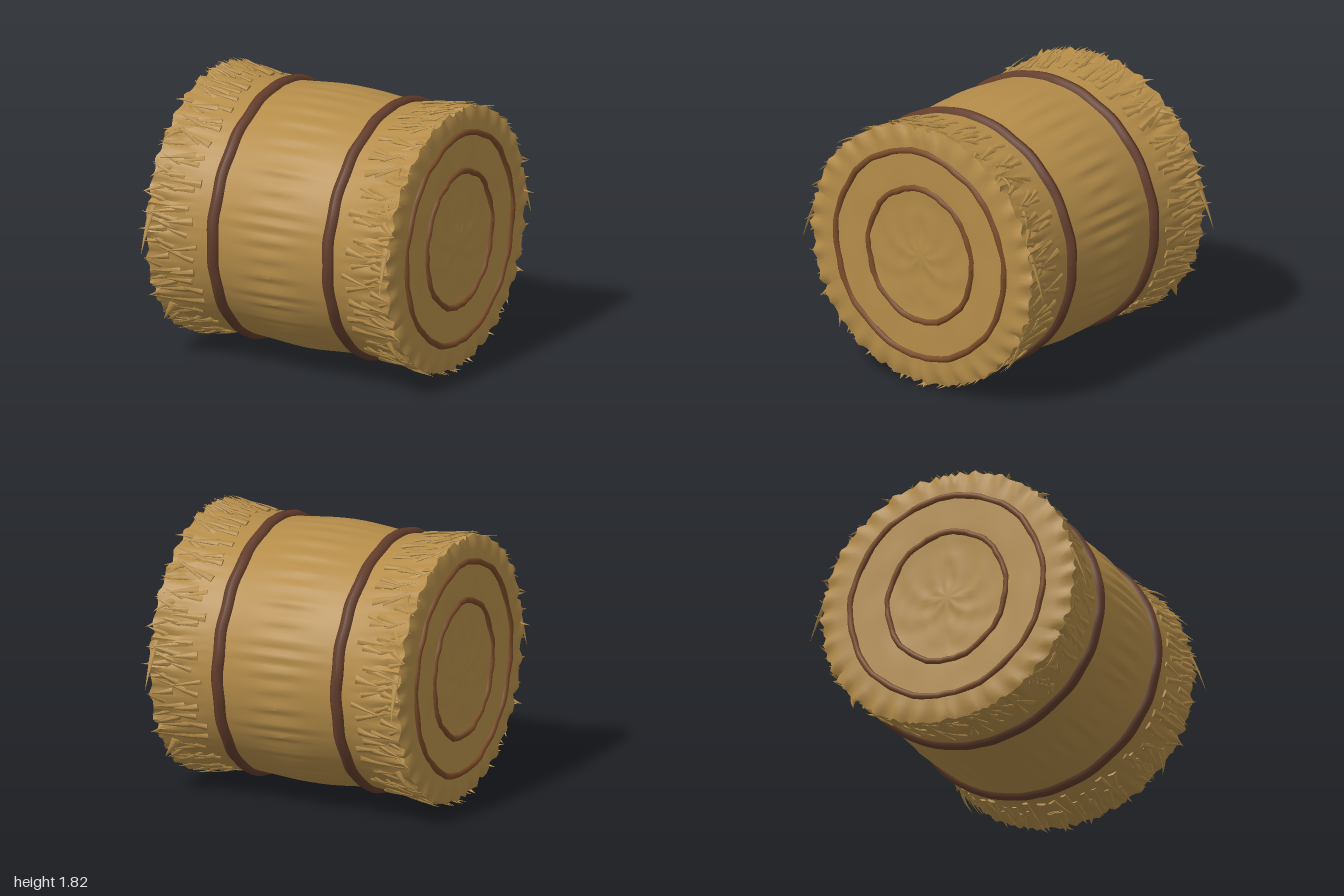
import * as THREE from 'three';
import { mergeGeometries, mergeVertices, toCreasedNormals } from 'three/addons/utils/BufferGeometryUtils.js';

const CY = 0.912;      // height of the bale's axis
const ZS = 1.035;      // the bale is slightly wider than tall

let seed = 7;
const rand = (a = 0, b = 1) => {
  seed = (seed * 16807) % 2147483647;
  return a + (b - a) * (seed / 2147483647);
};

// Move every vertex of a geometry by a rule
function deform(geo, rule) {
  const p = geo.attributes.position, v = new THREE.Vector3();
  for (let i = 0; i < p.count; i++) {
    rule(v.fromBufferAttribute(p, i));
    p.setXYZ(i, v.x, v.y, v.z);
  }
  return geo;
}

// Straw roll: a lathe along x, wrinkled the same way left/right and front/back
function baleGeometry() {
  const half = [[0, 0.915], [0.08, 0.915], [0.16, 0.905], [0.24, 0.918], [0.32, 0.908], [0.4, 0.92], [0.55, 0.918],
    [0.68, 0.92], [0.78, 0.918], [0.84, 0.912], [0.878, 0.9], [0.872, 0.86], [0.864, 0.8], [0.857, 0.73],
    [0.851, 0.65], [0.845, 0.57], [0.838, 0.5], [0.834, 0.43], [0.838, 0.36], [0.844, 0.29], [0.849, 0.22],
    [0.853, 0.15], [0.855, 0.08]];
  const pts = [...half.map(([r, x]) => new THREE.Vector2(r, -x)), new THREE.Vector2(0.856, 0),
    ...half.slice().reverse().map(([r, x]) => new THREE.Vector2(r, x))];
  let geo = new THREE.LatheGeometry(pts, 200).rotateZ(-Math.PI / 2);
  geo.deleteAttribute('uv');
  geo.deleteAttribute('normal');
  geo = mergeVertices(geo, 1e-4);
  // short slits around the middle
  const slits = Array.from({ length: 22 }, (_, i) => ({
    a: (i + rand(0.2, 0.8)) * Math.PI / 22, len: rand(0.1, 0.28), d: rand(0.012, 0.028),
  }));
  deform(geo, (v) => {
    const r = Math.hypot(v.y, v.z), x = Math.abs(v.x);
    if (r < 1e-4) return;
    const a = Math.acos(THREE.MathUtils.clamp(v.y / r, -1, 1));
    let k = 0;
    if (r > 0.82) {
      const fray = THREE.MathUtils.smoothstep(x, 0.48, 0.9);
      const w = a * 21 + 1.3 * Math.sin(a * 5) + 3 * x * Math.sin(a * 9);
      k += fray * (0.022 * (Math.abs(Math.sin(w)) - 0.6) + 0.008 * Math.sin(a * 57 + x * 9));
      for (const s of slits) {
        const t = (a - s.a - 0.06 * x * x) / 0.035;
        k -= s.d * t * Math.exp(-t * t) * Math.exp(-((x / s.len) ** 2));
      }
      if (x > 0.8) v.x += Math.sign(v.x) * 0.012 * Math.sin(a * 33);
    } else {
      v.x += Math.sign(v.x) * 0.005 * Math.sin(a * 7 + r * 25) * Math.min(1, r * 6);
      k += 0.01 * Math.sin(a * 6 + r * 9);
    }
    const f = (r + k) / r;
    v.y *= f;
    v.z *= f * ZS;
  });
  return toCreasedNormals(geo, 0.9);
}

// Flat, curling blade of straw from one point to another
function blade(from, to, width, curl) {
  const dir = to.clone().sub(from), len = dir.length();
  dir.normalize();
  const out = new THREE.Vector3(0, from.y, from.z).normalize();
  const side = new THREE.Vector3().crossVectors(dir, out).normalize();
  out.crossVectors(side, dir);
  const geo = new THREE.ConeGeometry(width, len, 6, 4).translate(0, len / 2, 0);
  deform(geo, (v) => {
    const t = v.y / len;
    v.z = v.z * 0.4 + curl * Math.sin(t * Math.PI);
  });
  geo.computeVertexNormals();
  return geo.applyMatrix4(new THREE.Matrix4().makeBasis(side, dir, out).setPosition(from));
}

// Frayed straw around both ends, mirrored in x and z
function frayGeometry() {
  const blades = [];
  const at = (x, r, a, sx, sz) => new THREE.Vector3(sx * x, r * Math.cos(a), sz * r * Math.sin(a) * ZS);
  const addMirrored = (x0, r0, a0, x1, r1, a1, w, curl) => {
    for (const sx of [-1, 1]) for (const sz of [-1, 1]) {
      blades.push(blade(at(x0, r0, a0, sx, sz), at(x1, r1, a1, sx, sz), w, curl));
    }
  };
  const n = 30;
  for (let row = 0; row < 3; row++) {
    for (let i = 0; i < n; i++) {
      const a = (i + 0.5 + rand(-0.35, 0.35)) * Math.PI / n;
      const x0 = [0.78, 0.68, 0.58][row] + rand(-0.04, 0.04);
      const x1 = [0.935, 0.89, 0.8][row] + rand(-0.03, 0.012);
      const r1 = [0.895, 0.893, 0.872][row] + rand(-0.015, 0.015);
      addMirrored(x0, 0.848, a, x1, r1, a + rand(-0.09, 0.09), rand(0.018, 0.034), rand(0.0, 0.014));
    }
  }
  // longer stray stalks
  addMirrored(0.87, 0.86, 1.3, 0.89, 0.973, 1.69, 0.03, 0.01);
  addMirrored(0.72, 0.85, 0.03, 0.9, 0.898, 0.02, 0.04, 0);
  addMirrored(0.72, 0.85, 3.11, 0.9, 0.91, 3.13, 0.04, 0);
  addMirrored(0.8, 0.86, 0.72, 0.88, 0.925, 0.86, 0.03, 0.015);
  addMirrored(0.8, 0.86, 2.2, 0.9, 0.925, 2.35, 0.035, 0.015);
  addMirrored(0.8, 0.86, 1.02, 0.9, 0.92, 1.14, 0.03, 0.01);
  return mergeGeometries(blades);
}

// Hand-wound rope loop around the x axis
function ropeGeometry(radius, tube, zScale, wobble, segments) {
  const geo = new THREE.TorusGeometry(radius, tube, 10, segments).rotateY(Math.PI / 2);
  deform(geo, (v) => {
    const a = Math.acos(THREE.MathUtils.clamp(v.y / Math.hypot(v.y, v.z), -1, 1));
    const f = 1 + wobble * (Math.sin(a * 9 + 1) + 0.6 * Math.sin(a * 23));
    v.x += 0.004 * Math.sin(a * 17);
    v.y *= f;
    v.z *= f * zScale;
  });
  geo.computeVertexNormals();
  return geo;
}

export function createModel() {
  const straw = new THREE.MeshStandardMaterial({ color: 0xb48c49 });
  const strapBrown = new THREE.MeshStandardMaterial({ color: 0x633d2b });
  const ringBrown = new THREE.MeshStandardMaterial({ color: 0x784a27 });
  straw.name = 'straw';
  strapBrown.name = 'strapBrown';
  ringBrown.name = 'ringBrown';

  const model = new THREE.Group();
  model.name = 'hayBale';
  const add = (name, geo, mat, x = 0, y = CY) => {
    const mesh = new THREE.Mesh(geo, mat);
    mesh.name = name;
    mesh.position.set(x, y, 0);
    model.add(mesh);
  };

  add('strawRoll', baleGeometry(), straw);
  add('frayedEnds', frayGeometry(), straw);

  // Two straps around the roll, two rings on each end
  const strap = ropeGeometry(0.826, 0.044, ZS, 0.002, 120);
  const outerRing = ropeGeometry(0.705, 0.022, 0.985, 0.006, 72);
  const innerRing = ropeGeometry(0.455, 0.021, 0.935, 0.009, 56);
  for (const [side, s] of [['left', 1], ['right', -1]]) {
    add(side + 'Strap', strap, strapBrown, s * 0.43);
    add(side + 'OuterRing', outerRing, ringBrown, s * 0.917, 0.922);
    add(side + 'InnerRing', innerRing, ringBrown, s * 0.917, 0.918);
  }
  return model;
}
